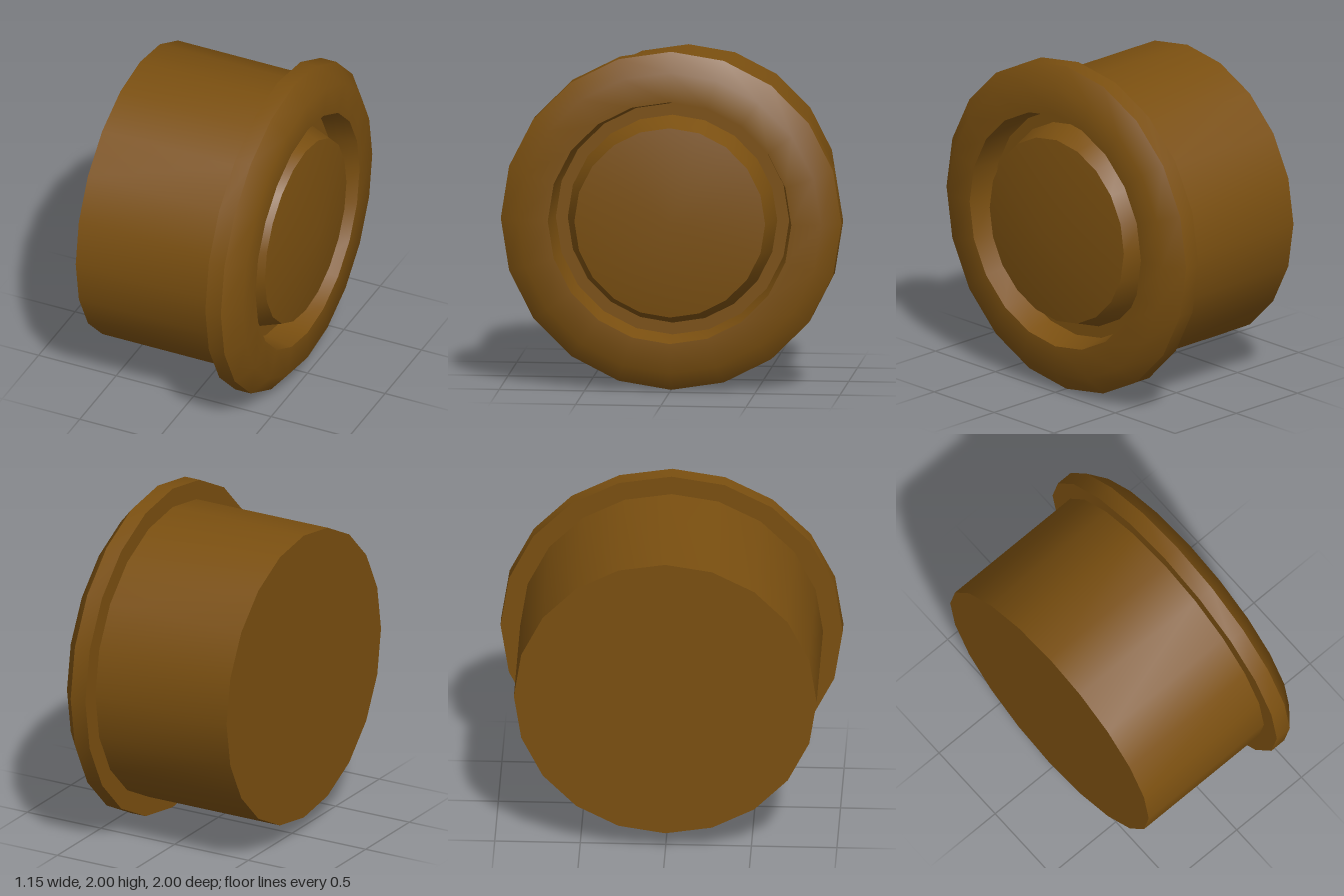
import * as THREE from 'three';
import { toCreasedNormals } from 'three/addons/utils/BufferGeometryUtils.js';

const SIDES = 20;
const CREASE = 0.75;

export function createModel() {
  const group = new THREE.Group();
  group.name = 'flangedPlug';
  const material = new THREE.MeshStandardMaterial({ color: 0x7a4f10 });

  // Turns a [radius, x] profile around the x axis
  function turned(name, profile) {
    const points = profile.map(([r, x]) => new THREE.Vector2(r, x));
    const lathe = new THREE.LatheGeometry(points, SIDES);
    lathe.rotateZ(-Math.PI / 2);
    const mesh = new THREE.Mesh(toCreasedNormals(lathe, CREASE), material);
    mesh.name = name;
    mesh.position.y = 1;
    group.add(mesh);
  }

  // Cylindrical body with a flat closed end
  turned('barrel', [[0, -0.58], [0.885, -0.58], [0.885, 0.31]]);

  // Bevelled flange, its lip and the recessed groove inside
  turned('flange', [
    [0.885, 0.31], [1, 0.31], [1, 0.41], [0.89, 0.5],
    [0.715, 0.5], [0.685, 0.33], [0.615, 0.33],
  ]);

  // Shallow cone rising from the groove
  turned('centreCap', [[0.615, 0.33], [0.56, 0.488], [0, 0.575]]);

  return group;
}
